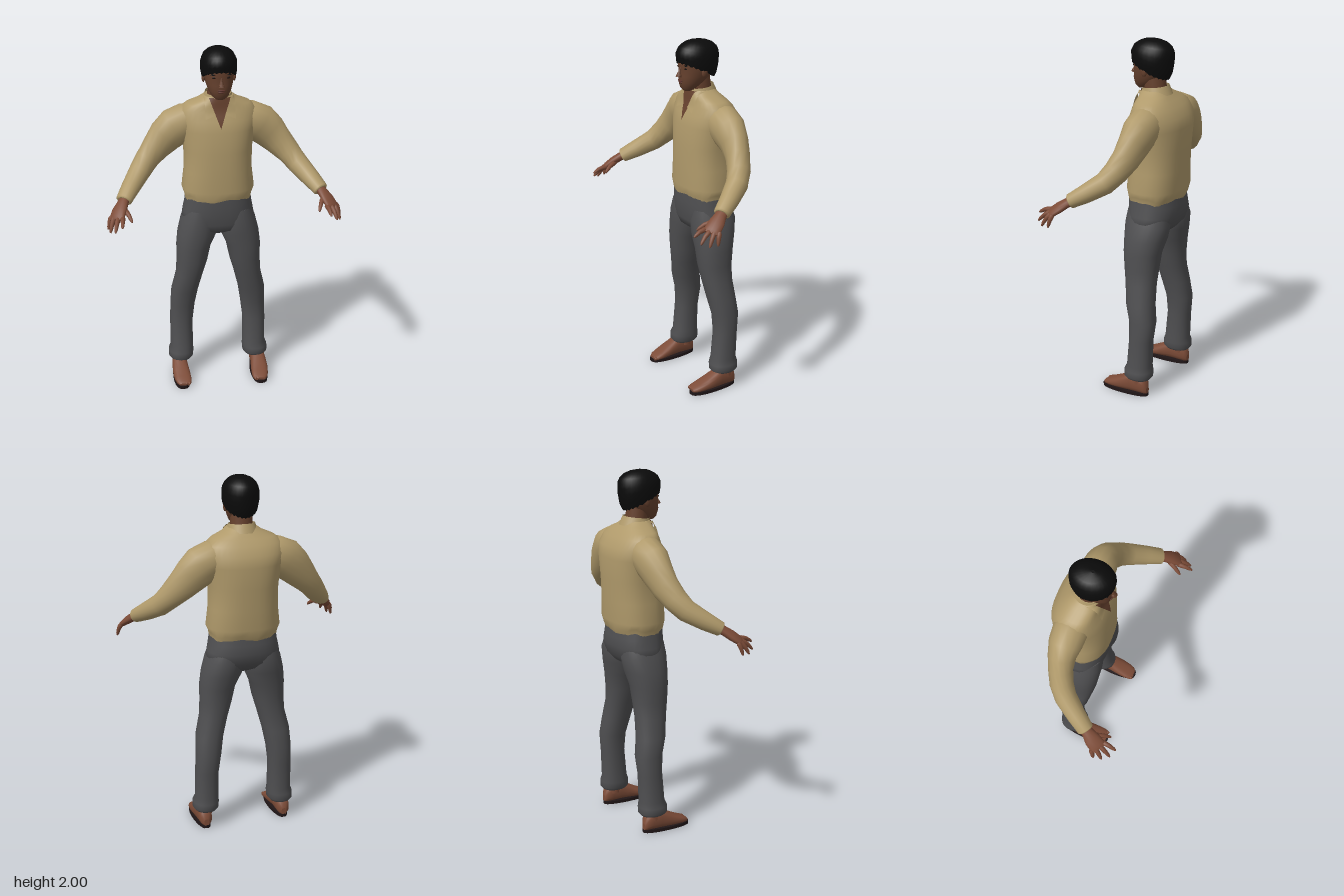
import * as THREE from 'three';

const mat = (name, color, side = THREE.FrontSide) => {
  const m = new THREE.MeshStandardMaterial({ color, side });
  m.name = name;
  return m;
};

// Skin a stack of rings into a closed smooth surface; s = -1 mirrors it in x
function loft(rings, s = 1) {
  const n = rings[0].length, pos = [], idx = [];
  const tri = (a, b, c) => (s > 0 ? idx.push(a, b, c) : idx.push(a, c, b));
  rings.forEach(r => r.forEach(p => pos.push(p.x * s, p.y, p.z)));
  for (let i = 0; i < rings.length - 1; i++)
    for (let j = 0; j < n; j++) {
      const k = (j + 1) % n, a = i * n + j, b = i * n + k;
      tri(a, b, b + n);
      tri(a, b + n, a + n);
    }
  [0, rings.length - 1].forEach(e => {
    const c = new THREE.Vector3();
    rings[e].forEach(p => c.addScaledVector(p, 1 / n));
    const first = pos.length / 3;
    rings[e].forEach(p => pos.push(p.x * s, p.y, p.z));
    pos.push(c.x * s, c.y, c.z);
    for (let j = 0; j < n; j++) {
      const a = first + j, b = first + (j + 1) % n;
      e ? tri(a, b, first + n) : tri(b, a, first + n);
    }
  });
  const g = new THREE.BufferGeometry();
  g.setAttribute('position', new THREE.Float32BufferAttribute(pos, 3));
  g.setIndex(idx);
  g.computeVertexNormals();
  return g;
}

// Rows are [y, centreX, halfWidth, frontZ, backZ]
function rowAt(rows, y) {
  let i = 0;
  while (i < rows.length - 2 && y > rows[i + 1][0]) i++;
  const a = rows[i], b = rows[i + 1];
  const f = THREE.MathUtils.clamp((y - a[0]) / (b[0] - a[0]), 0, 1);
  return a.map((v, k) => v + (b[k] - v) * f);
}
const spow = (v, e) => Math.sign(v) * Math.abs(v) ** e;
function surf(rows, t, y, p) {
  const [, cx, hw, zf, zb] = rowAt(rows, y);
  return new THREE.Vector3(cx + hw * spow(Math.sin(t), 2 / p), y,
    (zf + zb) / 2 + (zf - zb) / 2 * spow(Math.cos(t), 2 / p));
}
const around = (n, f) => Array.from({ length: n }, (_, j) => f(j / n * Math.PI * 2, j));
const body = (rows, p = 2, s = 1, n = 32) =>
  loft(rows.map(r => around(n, t => surf(rows, t, r[0], p))), s);

// Tube through [x, y, z, thickness, width]; ref sets the thickness direction
function limb(pts, s, ref = new THREE.Vector3(0, 1, 0), n = 16) {
  const P = pts.map(p => new THREE.Vector3(p[0], p[1], p[2]));
  return loft(P.map((c, i) => {
    const d = P[Math.min(i + 1, P.length - 1)].clone().sub(P[Math.max(i - 1, 0)]).normalize();
    const u = d.clone().cross(ref).normalize(), v = d.clone().cross(u);
    return around(n, t => c.clone().addScaledVector(u, pts[i][4] * Math.cos(t))
      .addScaledVector(v, pts[i][3] * Math.sin(t)));
  }), s);
}

const TORSO = [
  [1.13, 0, .186, .018, -.25], [1.155, 0, .19, .026, -.26], [1.19, 0, .203, .03, -.268],
  [1.3, 0, .19, .03, -.272], [1.42, 0, .19, .03, -.278], [1.54, 0, .21, .022, -.282],
  [1.6, 0, .222, .005, -.27], [1.65, 0, .21, -.015, -.237], [1.68, 0, .175, -.022, -.21],
  [1.705, 0, .115, -.025, -.187], [1.73, 0, .08, -.03, -.165]];
const HIPS = [
  [.92, 0, .06, -.05, -.15], [.95, 0, .15, 0, -.21], [.99, 0, .21, .013, -.245],
  [1.05, 0, .2, .02, -.26], [1.1, 0, .19, .023, -.255], [1.17, 0, .18, .02, -.245]];
const LEG = [
  [.1, .222, .06, -.055, -.195], [.115, .222, .072, -.042, -.207], [.15, .22, .073, -.042, -.207],
  [.18, .215, .066, -.055, -.2], [.34, .215, .066, -.07, -.205], [.45, .206, .071, -.065, -.217],
  [.55, .195, .077, -.04, -.203], [.66, .168, .078, -.02, -.195], [.75, .152, .088, -.005, -.2],
  [.84, .143, .098, .003, -.21], [.92, .12, .112, .01, -.23], [1, .108, .104, .013, -.245],
  [1.07, .1, .085, .005, -.23]];
const HEAD = [
  [1.728, 0, .025, .008, -.04], [1.745, 0, .045, .022, -.07], [1.775, 0, .062, .03, -.12],
  [1.81, 0, .074, .03, -.15], [1.85, 0, .081, .027, -.175], [1.89, 0, .084, .033, -.18],
  [1.94, 0, .08, .025, -.18], [1.98, 0, .045, -.02, -.13]];
const HAIR = [
  [1.77, 0, .072, .03, -.165], [1.82, 0, .089, .035, -.188], [1.88, 0, .1, .04, -.198],
  [1.93, 0, .098, .046, -.2], [1.965, 0, .082, .028, -.185], [1.985, 0, .06, 0, -.155],
  [1.997, 0, .03, -.035, -.115], [2, 0, .008, -.065, -.085]];

// Bend a plane over the front of a row table: at(u, v) gives [x, y] for u, v in 0..1
function frontPatch(rows, p, lift, at) {
  const g = new THREE.PlaneGeometry(1, 1, 8, 10), q = g.attributes.position;
  for (let i = 0; i < q.count; i++) {
    const [x, y] = at(q.getX(i) + .5, q.getY(i) + .5);
    const [, , hw, zf, zb] = rowAt(rows, y);
    const k = Math.max(0, 1 - Math.abs(x / hw) ** p) ** (1 / p);
    q.setXYZ(i, x, y, (zf + zb) / 2 + (zf - zb) / 2 * k + lift);
  }
  g.computeVertexNormals();
  return g;
}

export function createModel() {
  const model = new THREE.Group();
  model.name = 'standingMan';
  const shirt = mat('shirtTan', 0xb09a6b, THREE.DoubleSide), trousers = mat('trouserGrey', 0x4f4f51);
  const skin = mat('handSkin', 0x7d4c38), face = mat('faceSkin', 0x65402d, THREE.DoubleSide);
  const hairM = mat('hairBlack', 0x0b0b0b), soleM = mat('soleDark', 0x201617);
  const lipM = mat('lipBrown', 0x5a3028), eyeM = mat('eyeDark', 0x20140f);
  const add = (name, geo, m, parent = model) => {
    const o = new THREE.Mesh(geo, m);
    o.name = name;
    parent.add(o);
    return o;
  };
  const ball = (name, m, x, y, z, rx, ry, rz, parent = model) => {
    const o = add(name, new THREE.SphereGeometry(1, 14, 10), m, parent);
    o.position.set(x, y, z);
    o.scale.set(rx, ry, rz);
    return o;
  };

  // Shirt with an uneven hem, open neck and collar
  add('shirtBody', loft(TORSO.map((r, i) => around(36, t => {
    const p = surf(TORSO, t, r[0], 2.4);
    if (i < 2) p.y += .007 * Math.sin(t * 5) + .004 * Math.sin(t * 11);
    return p;
  }))), shirt);
  const vee = y => .058 * Math.max(0, y - 1.565) / .16;
  add('openNeck', frontPatch(TORSO, 2.4, .006, (u, v) => {
    const y = 1.565 + v * .163;
    return [(u * 2 - 1) * vee(y), y];
  }), face);
  const stand = add('collarStand',
    new THREE.CylinderGeometry(.072, .088, .05, 28, 1, true, .55, Math.PI * 2 - 1.1), shirt);
  stand.position.set(0, 1.722, -.1);
  stand.rotation.x = .12;
  for (const s of [1, -1])
    add('collarFlap', frontPatch(TORSO, 2.4, .014, (u, v) => {
      const y = 1.64 + v * .088, w = s > 0 ? u : 1 - u;
      return [s * (vee(y) + w * (.055 - .03 * v)), y - w * .022 * (1 - v)];
    }), shirt);

  // Trousers
  add('trouserSeat', body(HIPS, 2.4), trousers);

  // Head, neck and hair
  const neck = add('neck', new THREE.CylinderGeometry(.058, .066, .2, 20), face);
  neck.position.set(0, 1.705, -.098);
  neck.rotation.x = .1;
  const head = new THREE.Group();
  head.name = 'head';
  model.add(head);
  add('face', body(HEAD, 2.2), face, head);
  const STEPS = [0, .12, .25, .4, .55, .68, .8, .9, .96, 1];
  add('hair', loft(STEPS.map(f => around(48, (t, j) => {
    const low = 1.838 + .05 * Math.cos(t) + (j % 2 ? .004 : -.004);
    return surf(HAIR, t, low + (2 - low) * f, 2);
  }))), hairM, head);
  const nose = add('nose', new THREE.ConeGeometry(.017, .058, 8), face, head);
  nose.position.set(0, 1.834, .032);
  nose.rotation.x = -.25;
  ball('noseTip', face, 0, 1.815, .037, .016, .01, .014, head);
  ball('upperLip', lipM, 0, 1.785, .029, .024, .005, .006, head);
  ball('lowerLip', lipM, 0, 1.776, .028, .019, .005, .006, head);
  for (const s of [1, -1]) {
    ball('eye', eyeM, s * .035, 1.855, .018, .014, .006, .004, head);
    ball('eyebrow', hairM, s * .037, 1.872, .019, .02, .004, .005, head);
    ball('ear', face, s * .084, 1.838, -.075, .01, .03, .018, head).rotation.x = -.2;
  }

  for (const s of [1, -1]) {
    const side = s > 0 ? 'left' : 'right';
    // Sleeve
    add(side + 'Sleeve', limb([
      [.12, 1.585, -.13, .08, .08], [.17, 1.575, -.132, .1, .095], [.235, 1.54, -.133, .11, .09],
      [.29, 1.49, -.132, .1, .075], [.345, 1.43, -.12, .083, .066], [.4, 1.37, -.093, .068, .063],
      [.445, 1.315, -.052, .06, .06], [.5, 1.26, .03, .05, .052], [.542, 1.218, .1, .039, .045],
      [.545, 1.215, .105, .03, .036]], s), shirt);

    // Hand with palm, fingers and thumb
    const hand = new THREE.Group();
    hand.name = side + 'Hand';
    model.add(hand);
    const up = new THREE.Vector3(.45, .8, .4).normalize();
    add('palm', limb([
      [.535, 1.225, .085, .026, .032], [.55, 1.208, .115, .024, .033], [.57, 1.183, .15, .023, .044],
      [.588, 1.155, .187, .018, .046], [.594, 1.146, .2, .009, .04]], s, up), skin, hand);
    [[.558, 1.157, .21, .566, 1.13, .282], [.583, 1.152, .2, .603, 1.098, .263],
     [.605, 1.148, .185, .628, 1.083, .225], [.62, 1.145, .165, .636, 1.085, .18],
     [.54, 1.18, .16, .51, 1.14, .232]].forEach(([x, y, z, X, Y, Z], i) => {
      const at = (f, r) => [x + (X - x) * f, y + (Y - y) * f + .008 * Math.sin(f * Math.PI),
        z + (Z - z) * f, r, r];
      add(i < 4 ? 'finger' : 'thumb',
        limb([at(-.2, .011), at(.1, .014), at(.5, .012), at(.85, .009), at(1, .004)], s, up, 8), skin, hand);
    });

    // Trouser leg with cuff
    add(side + 'TrouserLeg', body(LEG, 2.2, s, 28), trousers);

    // Bare foot, lofted from heel to toe as [z, centreX, halfWidth, height]
    const foot = [[-.188, .232, .015, .04], [-.175, .232, .034, .085], [-.14, .232, .04, .11],
      [-.09, .234, .043, .115], [-.05, .234, .046, .092], [0, .232, .05, .064],
      [.045, .228, .048, .042], [.075, .225, .042, .03], [.09, .223, .03, .018]];
    add(side + 'Foot', loft(foot.map(([z, cx, hw, h]) => around(20, t =>
      new THREE.Vector3(cx + hw * spow(Math.cos(t), .8), .014 + h / 2 + h / 2 * spow(Math.sin(t), .8), z))), s),
    skin);
    const ankle = add(side + 'Ankle', new THREE.CylinderGeometry(.042, .044, .14, 16), skin);
    ankle.position.set(s * .23, .14, -.128);
    for (let i = 0; i < 5; i++)
      ball('toe', skin, s * (.196 + i * .016), .027, .08 - i * i * .0018, .0095, .01, .015);

    // Flat sole
    const outline = new THREE.Shape(around(28, t => {
      const z = -.045 + .145 * Math.cos(t);
      return new THREE.Vector2(s * .231 + (.046 + .04 * (z + .045)) * spow(Math.sin(t), .7), -z);
    }));
    const sole = add(side + 'Sole',
      new THREE.ExtrudeGeometry(outline, { depth: .018, bevelEnabled: false }), soleM);
    sole.rotation.x = -Math.PI / 2;
  }
  return model;
}
